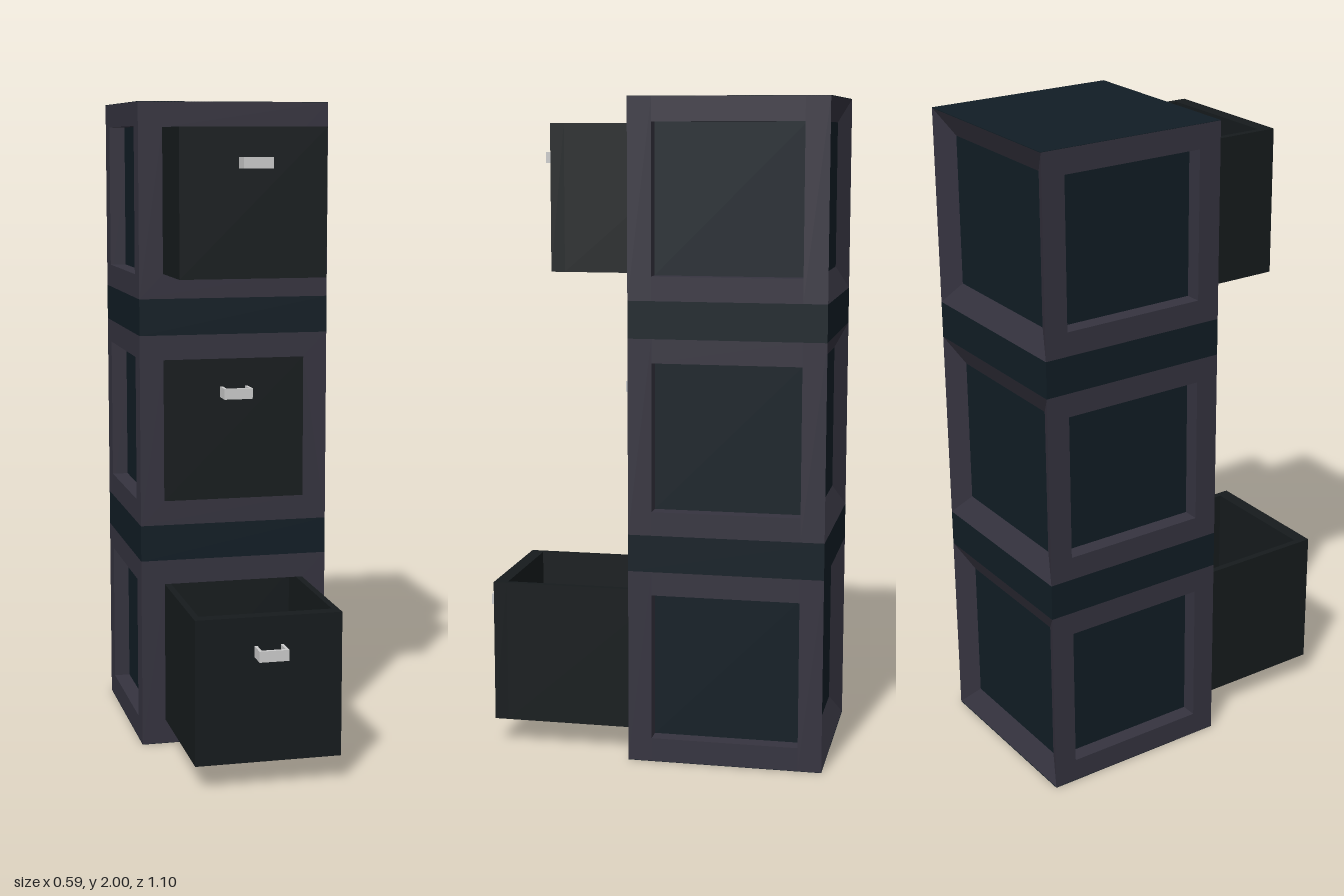
import * as THREE from 'three';

const W = 0.592;            // width, depth and height of one cube tier
const GAP = 0.112;          // height of the band between tiers
const STEP = W + GAP;
const ZC = -0.254;          // centre of the cabinet in z
const POST = 0.072;         // width of the frame members
const RECESS = 0.05;        // depth of the side panels
const BACK_DIP = 0.036;     // depth of the back panel
const OPEN = W - 2 * POST;  // size of the side and back openings
const FRONT = ZC + W / 2;
const DRAWER_W = 0.444, DRAWER_H = 0.44;

const frameMat = new THREE.MeshStandardMaterial({ color: 0x35333f, flatShading: true, side: THREE.DoubleSide });
const panelMat = new THREE.MeshStandardMaterial({ color: 0x111d25 });
const drawerMat = new THREE.MeshStandardMaterial({ color: 0x161b1d });
const handleMat = new THREE.MeshStandardMaterial({ color: 0xcccccc });

function box(parent, name, mat, w, h, d, x, y, z) {
  const mesh = new THREE.Mesh(new THREE.BoxGeometry(w, h, d), mat);
  mesh.name = name;
  mesh.position.set(x, y, z);
  parent.add(mesh);
}

function rectangle(path, w, h) {
  return path.moveTo(-w / 2, -h / 2).lineTo(w / 2, -h / 2).lineTo(w / 2, h / 2).lineTo(-w / 2, h / 2).closePath();
}

// Front frame whose opening fits the drawer closely
function makeFrontFrame() {
  const shape = rectangle(new THREE.Shape(), W, W);
  shape.holes.push(rectangle(new THREE.Path(), DRAWER_W, DRAWER_H));
  const geometry = new THREE.ExtrudeGeometry(shape, { depth: POST, bevelEnabled: false });
  const mesh = new THREE.Mesh(geometry, frameMat);
  mesh.name = 'frontFrame';
  mesh.position.set(0, W / 2, W / 2 - POST);
  return mesh;
}

// Square back frame whose rear face slopes in towards the panel
function makeBackFrame() {
  const profile = [[W, 0], [W, POST], [OPEN, POST], [OPEN, BACK_DIP], [W, 0]]
    .map(([size, y]) => new THREE.Vector2(size * Math.SQRT1_2, y));
  const geometry = new THREE.LatheGeometry(profile, 4, Math.PI / 4).rotateX(Math.PI / 2);
  const mesh = new THREE.Mesh(geometry, frameMat);
  mesh.name = 'backFrame';
  mesh.position.set(0, W / 2, -W / 2);
  return mesh;
}

// Cube frame with recessed side and back panels, standing on y = 0
function makeTier() {
  const tier = new THREE.Group();
  tier.name = 'tier';
  tier.add(makeFrontFrame(), makeBackFrame());
  for (const s of [-1, 1]) {
    for (const t of [-1, 1]) {
      box(tier, 'sideRail', frameMat, RECESS, POST, OPEN, s * (W - RECESS) / 2, W / 2 + t * (W - POST) / 2, 0);
    }
    box(tier, 'sidePanel', panelMat, 0.02, OPEN, OPEN, s * (W / 2 - RECESS - 0.01), W / 2, 0);
  }
  box(tier, 'backPanel', panelMat, OPEN, OPEN, 0.005, 0, W / 2, -W / 2 + BACK_DIP + 0.0025);
  return tier;
}

// U-shaped pull, attached at z = 0
function makeHandle() {
  const handle = new THREE.Group();
  handle.name = 'handle';
  for (const s of [-1, 1]) box(handle, 'handleArm', handleMat, 0.009, 0.033, 0.051, s * 0.04, 0, 0.0255);
  box(handle, 'handleBar', handleMat, 0.089, 0.033, 0.011, 0, 0, 0.0565);
  return handle;
}

// Open-topped drawer, its front face at z = 0 and its middle at y = 0
function makeDrawer() {
  const drawer = new THREE.Group();
  drawer.name = 'drawer';
  const depth = 0.55, front = 0.042, wall = 0.02;
  const sideLen = depth - front;
  const sideZ = -front - sideLen / 2;
  const innerW = DRAWER_W - 2 * wall;
  box(drawer, 'drawerFront', drawerMat, DRAWER_W, DRAWER_H, front, 0, 0, -front / 2);
  for (const s of [-1, 1]) box(drawer, 'drawerSide', drawerMat, wall, DRAWER_H, sideLen, s * (DRAWER_W - wall) / 2, 0, sideZ);
  box(drawer, 'drawerBack', drawerMat, innerW, DRAWER_H, wall, 0, 0, -depth + wall / 2);
  box(drawer, 'drawerFloor', drawerMat, innerW, wall, sideLen - wall, 0, (wall - DRAWER_H) / 2, sideZ + wall / 2);
  const handle = makeHandle();
  handle.position.y = 0.117;
  drawer.add(handle);
  return drawer;
}

export function createModel() {
  const model = new THREE.Group();
  model.name = 'drawerTower';

  // Tiers with their drawers, pulled out by different amounts
  [0.446, 0, 0.25].forEach((pull, i) => {
    const tier = makeTier();
    tier.position.set(0, i * STEP, ZC);
    model.add(tier);
    const drawer = makeDrawer();
    drawer.position.set(0, i * STEP + W / 2, FRONT + pull);
    model.add(drawer);
    if (i > 0) box(model, 'spacerBand', panelMat, W, GAP, W, 0, i * STEP - GAP / 2, ZC);
  });

  // Thin top and bottom covers
  for (const y of [0, 2]) box(model, y ? 'topCover' : 'bottomCover', panelMat, W, 0.002, W, 0, y, ZC);
  return model;
}
